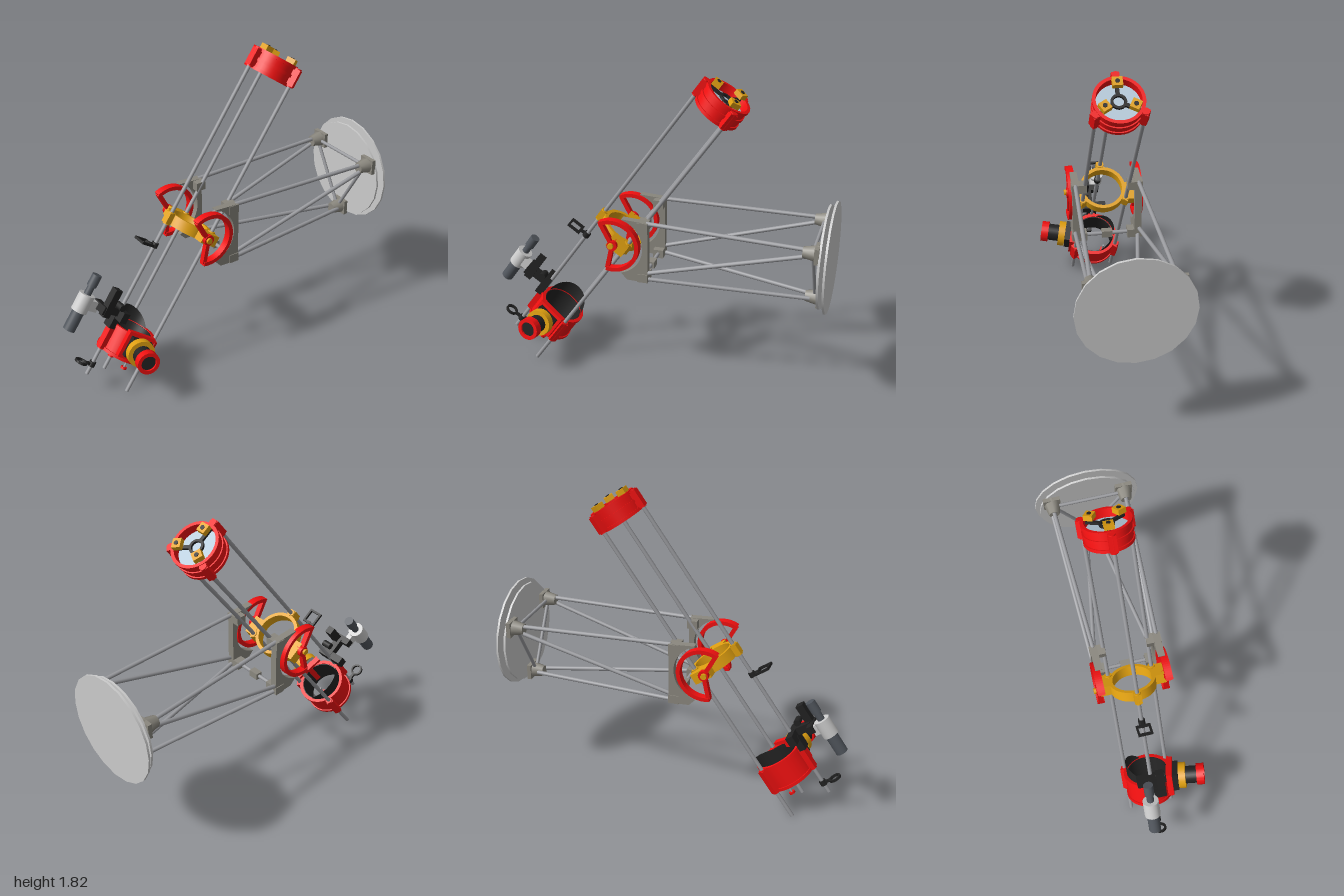
import * as THREE from 'three';
import { toCreasedNormals } from 'three/addons/utils/BufferGeometryUtils.js';

const material = (color) => new THREE.MeshStandardMaterial({ color, side: THREE.DoubleSide });
const RED = material(0xf01010), YELLOW = material(0xe0a010), BLACK = material(0x222222);
const DARK = material(0x50555c), STEEL = material(0x999a9e), CAST = material(0x8a877e);
const PALE = material(0xcccccc), GLASS = material(0xb4c8d8);
const RAD = Math.PI / 180, TILT = 35 * RAD, ROD_R = 0.1455;

function add(parent, name, geometry, mat, x = 0, y = 0, z = 0) {
  const mesh = new THREE.Mesh(geometry, mat);
  mesh.name = name;
  mesh.position.set(x, y, z);
  parent.add(mesh);
  return mesh;
}
const box = (w, h, d) => new THREE.BoxGeometry(w, h, d);
const cyl = (r, h, n = 24, r2 = r) => new THREE.CylinderGeometry(r, r2, h, n);

// Round rod between two points
function rod(parent, name, a, b, r, mat) {
  const p = new THREE.Vector3(...a), q = new THREE.Vector3(...b);
  const mesh = add(parent, name, cyl(r, p.distanceTo(q), 12), mat);
  mesh.position.copy(p).lerp(q, 0.5);
  mesh.quaternion.setFromUnitVectors(new THREE.Vector3(0, 1, 0), q.sub(p).normalize());
  return mesh;
}

// Hollow ring around the y axis
function ring(ri, ro, h) {
  const pts = [[ri, -h / 2], [ro, -h / 2], [ro, h / 2], [ri, h / 2], [ri, -h / 2]];
  return toCreasedNormals(new THREE.LatheGeometry(pts.map((p) => new THREE.Vector2(...p)), 40), 0.6);
}

// Side profile drawn in (z, y), given a thickness along x
function sidePlate(shape, thickness) {
  const g = new THREE.ExtrudeGeometry(shape, { depth: thickness, bevelEnabled: false, curveSegments: 24 });
  return g.translate(0, 0, -thickness / 2).rotateY(-Math.PI / 2);
}

// Calls fn at the three rod directions: front and two rear
function threeFold(fn) {
  for (let i = 0; i < 3; i++) fn(i * 120 * RAD, Math.sin(i * 120 * RAD), Math.cos(i * 120 * RAD));
}

// Clamps that tie a ring to the three rods
function clamps(parent, name, y, h, mat) {
  threeFold((a, s, c) => {
    add(parent, name, box(0.042, h, 0.05), mat, s * 0.141, y, c * 0.141).rotation.y = a;
    add(parent, name + 'Collar', cyl(0.021, h + 0.012, 16), mat, s * ROD_R, y, c * ROD_R);
  });
}

function buildMount(root) {
  const mount = new THREE.Group();
  mount.name = 'mount';
  root.add(mount);
  // Round back plates
  add(mount, 'backPlate', cyl(0.314, 0.012, 20).rotateX(Math.PI / 2), PALE, 0, 0.864, -0.992);
  add(mount, 'frontPlate', cyl(0.291, 0.012, 20).rotateX(Math.PI / 2), PALE, 0, 0.864, -0.957);
  add(mount, 'plateBearing', cyl(0.06, 0.03).rotateX(Math.PI / 2), DARK, 0, 0.864, -0.975);

  // Three sockets on the plate, joined in a triangle
  const sockets = [[-0.215, 0.985, -0.915], [0.215, 0.985, -0.915], [0, 0.61, -0.915]];
  sockets.forEach(([x, y, z], i) => {
    add(mount, 'socketFoot', box(0.1, 0.09, 0.025), CAST, x, y, z - 0.025);
    add(mount, 'socket', cyl(0.05, 0.085, 8, 0.032).rotateX(-Math.PI / 2), CAST, x, y, z + 0.01);
    rod(mount, 'triangleRod', sockets[i], sockets[(i + 1) % 3], 0.01, STEEL);
  });

  // Fork cheek with a concave cradle
  const cheek = new THREE.Shape();
  cheek.moveTo(0.15, 1.035);
  cheek.lineTo(0, 1.025);
  cheek.lineTo(0, 0.66);
  cheek.lineTo(0.12, 0.665);
  cheek.lineTo(0.156, 0.704);
  cheek.absarc(0.2, 0.868, 0.17, -105 * RAD, -253 * RAD, true);
  // Curved altitude bearing
  const arc = new THREE.Shape();
  arc.absarc(0, 0, 0.157, 60 * RAD, 284 * RAD, false);
  arc.absarc(0, 0, 0.134, 284 * RAD, 60 * RAD, true);

  for (const s of [-1, 1]) {
    add(mount, 'forkCheek', sidePlate(cheek, 0.04), CAST, s * 0.178);
    for (const y of [1.0, 0.685]) add(mount, 'forkSocket', box(0.085, 0.05, 0.06), CAST, s * 0.16, y, 0.03);
    const bearing = new THREE.Group();
    bearing.name = 'altitudeBearing';
    bearing.position.set(s * 0.192, 0.868, 0.205);
    mount.add(bearing);
    add(bearing, 'bearingArc', sidePlate(arc, 0.042), RED);
    add(bearing, 'bearingHub', cyl(0.03, 0.04).rotateZ(Math.PI / 2), RED);
    for (const a of [62 * RAD, 282 * RAD]) {
      const spoke = add(bearing, 'bearingSpoke', box(0.03, 0.024, 0.145), RED, 0, Math.sin(a) * 0.072, Math.cos(a) * 0.072);
      spoke.rotation.x = -a;
    }
    // Truss rods of one side
    const top = [s * 0.215, 1.0, -0.88];
    rod(mount, 'upperTruss', [s * 0.18, 1.018, 0.01], top, 0.012, STEEL);
    rod(mount, 'diagonalTruss', [s * 0.185, 0.71, 0.02], [s * 0.225, 0.965, -0.88], 0.012, STEEL);
    rod(mount, 'lowerTruss', [s * 0.18, 0.675, 0.02], [s * 0.03, 0.61, -0.89], 0.012, STEEL);
  }
  rod(mount, 'forkCrossbar', [-0.17, 0.685, 0.03], [0.17, 0.685, 0.03], 0.011, STEEL);
  add(mount, 'crossbarJoint', box(0.06, 0.04, 0.04), CAST, 0, 0.685, 0.03);
}

function buildTube(tube) {
  threeFold((a, s, c) => rod(tube, 'tubeRod', [s * ROD_R, -1.0, c * ROD_R], [s * ROD_R, 1.0, c * ROD_R], 0.0115, STEEL));

  // Altitude ring
  add(tube, 'altitudeRing', ring(0.112, 0.132, 0.062), YELLOW);
  clamps(tube, 'altitudeClamp', 0, 0.062, YELLOW);
  for (const s of [-1, 1]) {
    add(tube, 'pivotBlock', box(0.062, 0.062, 0.11), YELLOW, s * 0.158, 0, -0.03);
    add(tube, 'pivotPin', cyl(0.017, 0.05, 16).rotateZ(Math.PI / 2), YELLOW, s * 0.2, 0, 0);
  }

  // Mirror cell at the upper end
  add(tube, 'mirrorCell', ring(0.118, 0.129, 0.12), RED, 0, 0.993);
  for (const y of [0.942, 0.993, 1.044]) add(tube, 'cellFlange', ring(0.12, 0.136, 0.018), RED, 0, y);
  clamps(tube, 'cellClamp', 0.993, 0.1, RED);
  add(tube, 'mirror', cyl(0.117, 0.025, 40), GLASS, 0, 0.99);
  add(tube, 'mirrorSupportRing', ring(0.028, 0.042, 0.014), BLACK, 0, 1.03);
  threeFold((a, s, c) => {
    add(tube, 'mirrorSupportArm', box(0.02, 0.014, 0.085), BLACK, s * 0.078, 1.03, c * 0.078).rotation.y = a;
    add(tube, 'adjusterBlock', box(0.054, 0.03, 0.05), YELLOW, s * 0.09, 1.068, c * 0.09).rotation.y = a;
    add(tube, 'adjusterScrew', cyl(0.012, 0.014, 12), BLACK, s * 0.09, 1.08, c * 0.09);
  });

  // Lower cage
  add(tube, 'lowerCage', ring(0.122, 0.134, 0.165), RED, 0, -0.75);
  add(tube, 'cageLining', ring(0.116, 0.122, 0.16), BLACK, 0, -0.75);
  for (const y of [-0.822, -0.675]) add(tube, 'cageFlange', ring(0.12, 0.141, 0.018), RED, 0, y);
  clamps(tube, 'cageClamp', -0.75, 0.15, RED);
  for (const x of [-0.07, 0.07]) {
    add(tube, 'cageScrew', cyl(0.006, 0.07, 10), STEEL, x, -0.86, -0.02);
    add(tube, 'cageKnob', cyl(0.018, 0.012, 12), RED, x, -0.89, -0.02);
  }
  // Rounded light shield rising from the cage, opposite the focuser
  const shield = new THREE.CylinderGeometry(0.122, 0.122, 0.1, 32, 1, true, 180 * RAD, 180 * RAD);
  const p = shield.attributes.position;
  for (let i = 0; i < p.count; i++) if (p.getY(i) > 0) p.setY(i, -0.05 + 0.15 * Math.sqrt(Math.max(0, -p.getX(i) / 0.122)));
  shield.computeVertexNormals();
  add(tube, 'lightShield', shield, BLACK, 0, -0.68);

  // Focuser, swung slightly to the front
  const focuser = new THREE.Group();
  focuser.name = 'focuser';
  focuser.position.y = -0.728;
  focuser.rotation.y = -13 * RAD;
  tube.add(focuser);
  const along = (name, r, x0, x1, mat, n = 28) => add(focuser, name, cyl(r, x1 - x0, n).rotateZ(Math.PI / 2), mat, (x0 + x1) / 2);
  add(focuser, 'focuserPlate', box(0.035, 0.16, 0.17), RED, 0.132);
  add(focuser, 'focuserBase', box(0.035, 0.12, 0.13), BLACK, 0.165);
  along('focuserNeck', 0.052, 0.15, 0.21, BLACK);
  along('focusRing', 0.078, 0.184, 0.226, YELLOW);
  along('drawTube', 0.052, 0.22, 0.31, BLACK);
  add(focuser, 'eyepieceRim', ring(0.043, 0.064, 0.045).rotateZ(Math.PI / 2), RED, 0.314);
  along('eyepieceLens', 0.044, 0.3, 0.325, BLACK);

  // Peep sights on the front rod
  const frame = new THREE.Shape([[-0.042, 0], [0.042, 0], [0.042, 0.085], [-0.042, 0.085]].map((q) => new THREE.Vector2(...q)));
  frame.holes.push(new THREE.Path([[-0.03, 0.012], [-0.03, 0.073], [0.03, 0.073], [0.03, 0.012]].map((q) => new THREE.Vector2(...q))));
  const square = new THREE.ExtrudeGeometry(frame, { depth: 0.014, bevelEnabled: false }).rotateX(Math.PI / 2);
  add(tube, 'squareSight', square, BLACK, 0, -0.163, 0.182);
  add(tube, 'roundSight', ring(0.026, 0.037, 0.014), BLACK, 0, -0.935, 0.225);
  for (const y of [-0.17, -0.935]) {
    add(tube, 'sightClamp', cyl(0.02, 0.03, 14), BLACK, 0, y, ROD_R);
    add(tube, 'sightStem', box(0.016, 0.014, 0.05), BLACK, 0, y, 0.172);
  }

  // Finder scope and its bracket
  const finder = new THREE.Group();
  finder.name = 'finder';
  finder.position.set(-0.045, 0, 0.375);
  tube.add(finder);
  for (const [name, r, y0, y1, mat] of [
    ['finderFront', 0.035, -0.785, -0.66, DARK], ['finderBody', 0.046, -0.665, -0.56, PALE],
    ['finderNeck', 0.021, -0.565, -0.5, DARK], ['finderEyepiece', 0.028, -0.51, -0.44, DARK],
  ]) add(finder, name, cyl(r, y1 - y0), mat, 0, (y0 + y1) / 2);
  add(tube, 'finderShoe', box(0.035, 0.06, 0.07), PALE, -0.025, -0.61, 0.325);
  add(tube, 'bracketArm', box(0.045, 0.17, 0.045), BLACK, 0.04, -0.545, 0.27);
  add(tube, 'bracketLink', box(0.11, 0.045, 0.04), BLACK, 0.005, -0.595, 0.285);
  add(tube, 'bracketStem', box(0.045, 0.045, 0.12), BLACK, 0.02, -0.59, 0.215);
  add(tube, 'bracketBase', box(0.17, 0.06, 0.045), BLACK, 0, -0.6, 0.16);
  add(tube, 'bracketFoot', box(0.06, 0.09, 0.04), BLACK, 0, -0.65, 0.165);
  rod(tube, 'bracketKnob', [0.02, -0.55, 0.2], [0.075, -0.55, 0.2], 0.02, BLACK);
}

export function createModel() {
  const model = new THREE.Group();
  model.name = 'telescope';
  const body = new THREE.Group();
  body.name = 'body';
  body.position.x = -0.013;
  model.add(body);
  buildMount(body);
  // Tilted optical tube
  const tube = new THREE.Group();
  tube.name = 'tube';
  tube.position.set(0, 0.87, 0.21);
  tube.rotation.x = -TILT;
  body.add(tube);
  buildTube(tube);
  return model;
}
